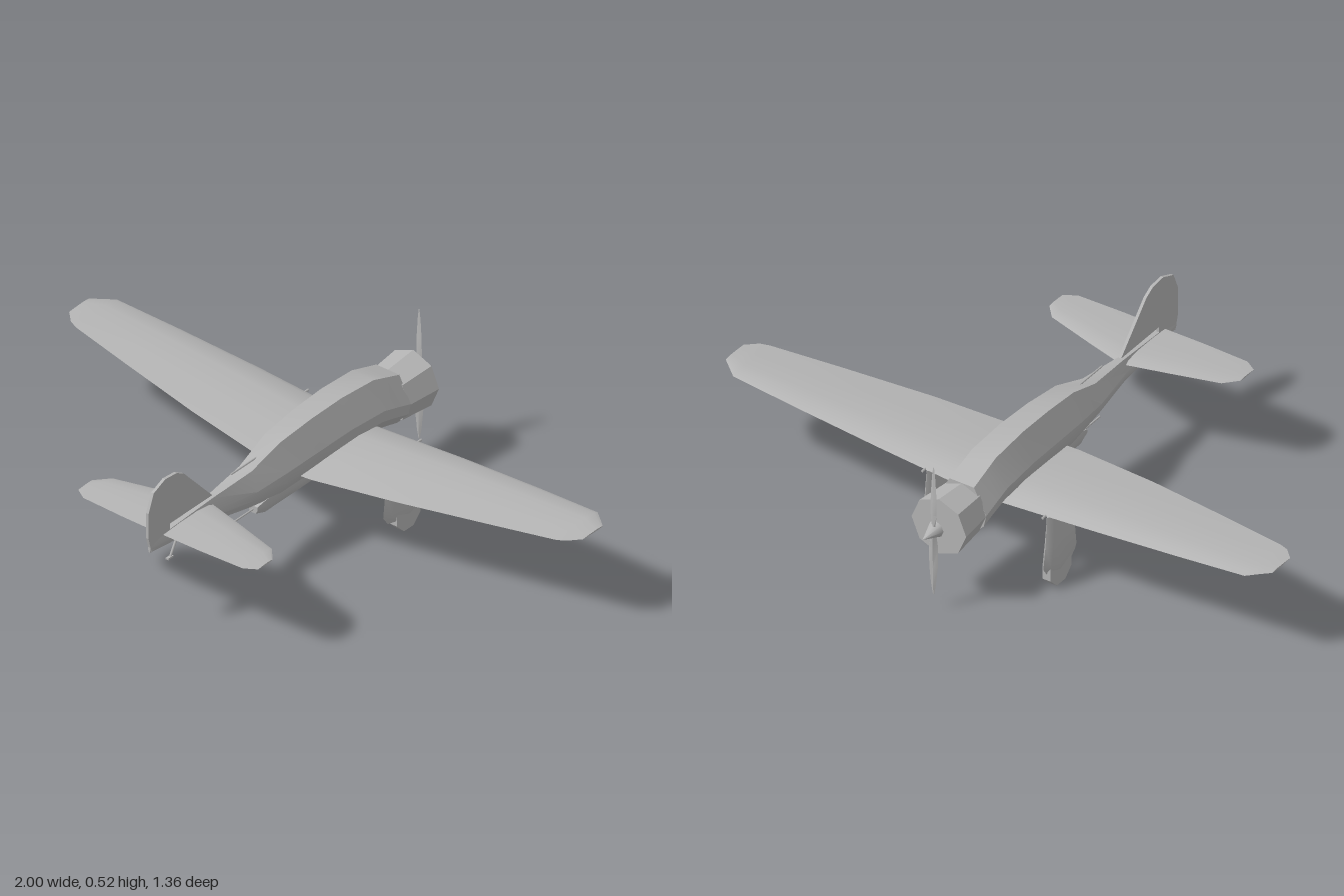
import * as THREE from 'three';
import { toCreasedNormals } from 'three/addons/utils/BufferGeometryUtils.js';

const grey = new THREE.MeshStandardMaterial({ color: 0xb4b4b4 });
grey.name = 'airframe grey';

// Closed skin through a list of equal-length rings of [x, y, z] points, capped at both ends
function loft(rings, crease = 0.6) {
  const n = rings[0].length, pts = rings.flat(), tris = [];
  for (let i = 0; i < rings.length - 1; i++) {
    for (let j = 0; j < n; j++) {
      const a = i * n + j, b = i * n + (j + 1) % n;
      tris.push([a, b, a + n], [b, b + n, a + n]);
    }
  }
  const last = (rings.length - 1) * n;
  for (let j = 1; j < n - 1; j++) {
    tris.push([0, j + 1, j], [last, last + j, last + j + 1]);
  }
  // Make every face point outward, whichever way the rings run
  const v = pts.map(p => new THREE.Vector3(...p));
  const o = v[0];
  let volume = 0;
  for (const [a, b, c] of tris) {
    const p = v[a].clone().sub(o), q = v[b].clone().sub(o), r = v[c].clone().sub(o);
    volume += p.dot(q.cross(r));
  }
  const geo = new THREE.BufferGeometry();
  geo.setAttribute('position', new THREE.Float32BufferAttribute(pts.flat(), 3));
  geo.setIndex(tris.flatMap(t => (volume < 0 ? [t[0], t[2], t[1]] : t)));
  return toCreasedNormals(geo, crease);
}

function add(parent, name, geo, x = 0, y = 0, z = 0) {
  const mesh = new THREE.Mesh(geo, grey);
  mesh.name = name;
  mesh.position.set(x, y, z);
  parent.add(mesh);
  return mesh;
}

// Rod between two points
function rod(parent, name, from, to, r) {
  const a = new THREE.Vector3(...from), b = new THREE.Vector3(...to);
  const mesh = add(parent, name, new THREE.CylinderGeometry(r, r, a.distanceTo(b), 6));
  mesh.position.copy(a).add(b).multiplyScalar(0.5);
  mesh.quaternion.setFromUnitVectors(new THREE.Vector3(0, 1, 0), b.sub(a).normalize());
  return mesh;
}

// Flat-sided body section: flat top and bottom, widest at mid height
function bodyRing([z, bottom, top, w]) {
  const h = top - bottom;
  const half = [[0.5, 1], [1, 0.5], [0.9, 0.27], [0.42, 0]];
  const right = half.map(([x, y]) => [x * w, bottom + y * h, z]);
  return [...right, ...right.slice().reverse().map(([x, y]) => [-x, y, z])];
}

// Aerofoil section at span x, between leading and trailing edge
const foil = [[0, 0], [0.08, 0.36], [0.3, 0.55], [0.65, 0.36], [1, 0], [0.6, -0.36], [0.3, -0.45], [0.08, -0.3]];
function foilRing([x, lead, trail, y, t]) {
  return foil.map(([c, s]) => [x, y + s * t, lead + c * (trail - lead)]);
}
// Repeats half-span sections on the other side
function mirrored(stations) {
  const left = stations.filter(s => s[0] > 0).reverse().map(([x, ...rest]) => [-x, ...rest]);
  return [...left, ...stations].map(foilRing);
}

export function createModel() {
  const plane = new THREE.Group();
  plane.name = 'monoplane';

  // Fuselage: z, bottom, top, half width
  add(plane, 'fuselage', loft([
    [-0.47, 0.205, 0.38, 0.09], [-0.41, 0.22, 0.4, 0.088], [-0.35, 0.232, 0.42, 0.086],
    [-0.2, 0.235, 0.43, 0.081], [-0.06, 0.227, 0.425, 0.075], [0.08, 0.22, 0.41, 0.065],
    [0.21, 0.235, 0.365, 0.047], [0.38, 0.265, 0.35, 0.022], [0.67, 0.295, 0.328, 0.005],
  ].map(bodyRing), 0.45));

  // Eight-sided engine cowl
  const cowl = new THREE.CylinderGeometry(0.088, 0.1, 0.13, 8).toNonIndexed();
  cowl.computeVertexNormals();
  cowl.rotateX(Math.PI / 2);
  add(plane, 'engineCowl', cowl, 0, 0.29, -0.527);

  // Wing: span x, leading z, trailing z, height, thickness
  add(plane, 'wing', loft(mirrored([
    [0, -0.348, 0.015, 0.258, 0.05], [0.1, -0.347, 0.012, 0.265, 0.048],
    [0.4, -0.345, -0.028, 0.287, 0.038], [0.7, -0.336, -0.082, 0.307, 0.026],
    [0.935, -0.325, -0.127, 0.322, 0.016], [0.965, -0.3, -0.14, 0.325, 0.012],
    [1, -0.27, -0.175, 0.327, 0.005],
  ]), 0.7));

  // Tailplane
  add(plane, 'tailplane', loft(mirrored([
    [0, 0.38, 0.61, 0.33, 0.018], [0.15, 0.42, 0.61, 0.331, 0.016],
    [0.31, 0.465, 0.605, 0.332, 0.011], [0.35, 0.51, 0.58, 0.332, 0.005],
  ]), 0.7));

  // Fin and rudder, drawn in (z, y) and turned into the centre plane
  const fin = new THREE.Shape([
    [0.375, 0.355], [0.51, 0.5], [0.545, 0.52], [0.6, 0.525], [0.655, 0.502], [0.68, 0.44],
    [0.68, 0.35], [0.665, 0.295], [0.578, 0.325], [0.578, 0.355],
  ].map(p => new THREE.Vector2(-p[0], p[1])));
  const finGeo = new THREE.ExtrudeGeometry(fin, { depth: 0.01, bevelEnabled: false });
  finGeo.translate(0, 0, -0.005).rotateY(Math.PI / 2);
  add(plane, 'finAndRudder', finGeo);

  // Propeller and spinner
  const propeller = new THREE.Group();
  propeller.name = 'propeller';
  propeller.position.set(0, 0.29, -0.62);
  plane.add(propeller);
  add(propeller, 'spinner', new THREE.ConeGeometry(0.028, 0.072, 8).rotateX(-Math.PI / 2), 0, 0, -0.024);
  rod(propeller, 'shaft', [0, 0, 0], [0, 0, 0.05], 0.006);
  const blade = loft([[0, 0.006, 0.007], [0.06, 0.014, 0.006], [0.13, 0.013, 0.004], [0.2, 0.007, 0.003], [0.232, 0.002, 0.001]]
    .map(([y, w, t]) => [[w, y, 0.3 * w], [0, y, t], [-w, y, -0.3 * w], [0, y, -t]]));
  for (const turn of [0, Math.PI]) add(propeller, 'blade', blade).rotation.z = turn;

  // Trousered main wheels and wing guns on both sides
  const spat = loft([
    [0.26, -0.335, -0.19, 0.017], [0.16, -0.343, -0.187, 0.02], [0.08, -0.355, -0.178, 0.021],
    [0.05, -0.335, -0.2, 0.015],
  ].map(([y, front, rear, w]) => {
    const mid = front + 0.35 * (rear - front);
    return [[0, y, front], [w * 0.8, y, front + 0.02], [w, y, mid], [w * 0.7, y, rear - 0.03],
      [0, y, rear], [-w * 0.7, y, rear - 0.03], [-w, y, mid], [-w * 0.8, y, front + 0.02]];
  }), 0.8);
  const wheel = new THREE.CylinderGeometry(0.06, 0.06, 0.03, 8, 1, false, Math.PI / 8)
    .rotateZ(Math.PI / 2).toNonIndexed();
  wheel.computeVertexNormals();
  for (const side of [-1, 1]) {
    add(plane, 'wheelSpat', spat, side * 0.22);
    add(plane, 'mainWheel', wheel, side * 0.22, 0.056, -0.282);
    rod(plane, 'wingGun', [side * 0.22, 0.273, -0.36], [side * 0.22, 0.273, -0.32], 0.004);
  }

  // Belly gondola and the two rearward guns
  add(plane, 'bellyGondola', loft([
    [-0.14, 0.212, 0.235, 0.02], [-0.09, 0.184, 0.235, 0.032], [0.14, 0.182, 0.235, 0.03],
    [0.175, 0.19, 0.215, 0.018],
  ].map(([z, b, t, w]) => [[w, t, z], [w, (b + t) / 2, z], [w * 0.6, b, z],
    [-w * 0.6, b, z], [-w, (b + t) / 2, z], [-w, t, z]])));
  rod(plane, 'bellyGun', [0, 0.202, 0.15], [0, 0.202, 0.268], 0.003);
  rod(plane, 'dorsalGun', [0, 0.38, 0.12], [0, 0.38, 0.28], 0.003);

  // Tail skid
  rod(plane, 'tailStrut', [0, 0.29, 0.535], [0, 0.23, 0.57], 0.004);
  add(plane, 'tailSkid', new THREE.BoxGeometry(0.01, 0.006, 0.025), 0, 0.229, 0.573);

  return plane;
}
